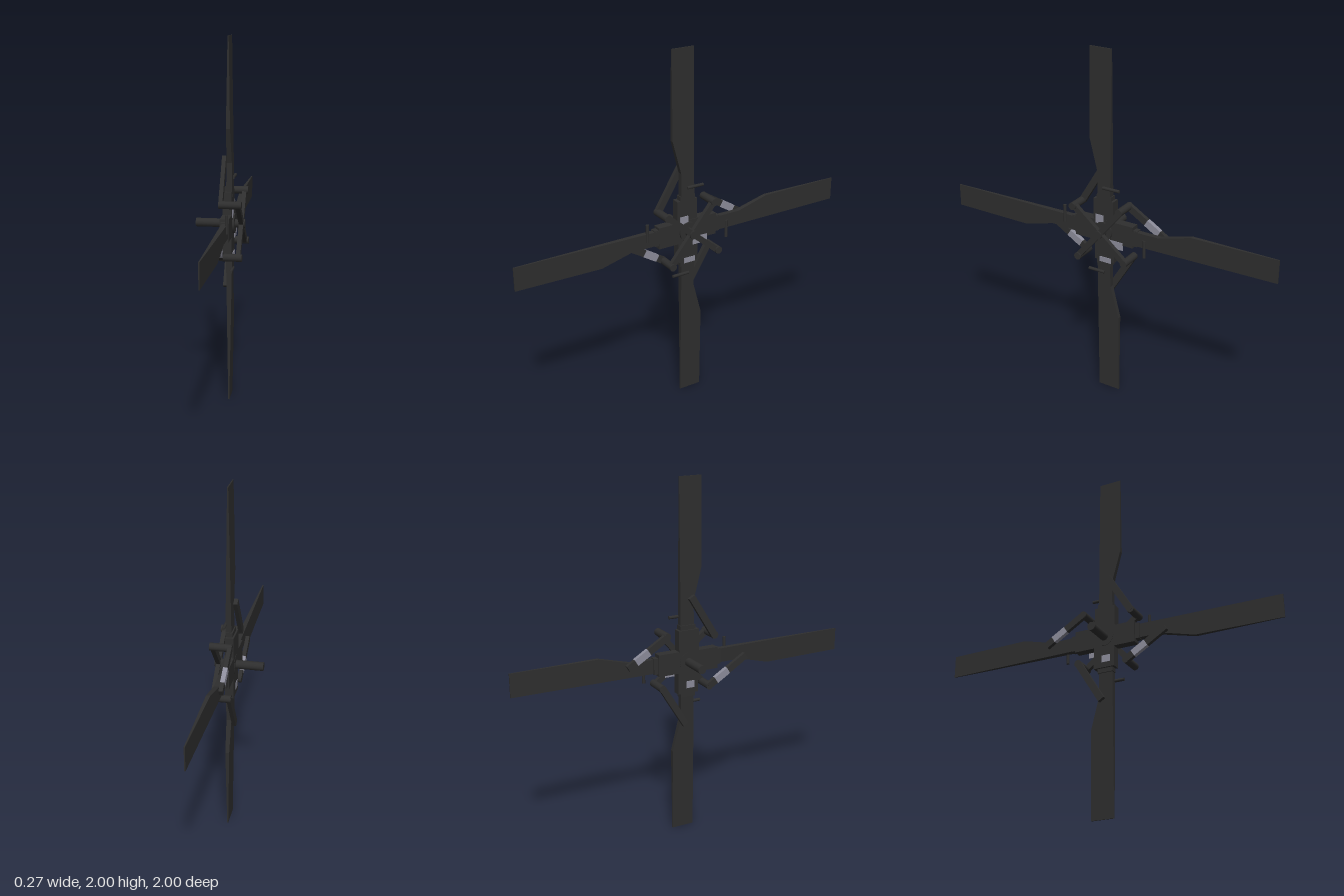
import * as THREE from 'three';

export function createModel() {
  const model = new THREE.Group();
  model.name = 'tailRotor';
  const dark = new THREE.MeshStandardMaterial({ color: 0x2e2e2e });
  dark.name = 'dark paint';
  const bare = new THREE.MeshStandardMaterial({ color: 0x8c8c9a });
  bare.name = 'bare metal';

  const add = (parent, name, geometry, material, x, y, z) => {
    const mesh = new THREE.Mesh(geometry, material);
    mesh.name = name;
    mesh.position.set(x, y, z);
    parent.add(mesh);
    return mesh;
  };
  const box = (parent, name, size, pos, material = dark) =>
    add(parent, name, new THREE.BoxGeometry(...size), material, ...pos);
  // Rod lying along x from x0 to x1
  const rodX = (parent, name, radius, x0, x1, y, z) => {
    const geometry = new THREE.CylinderGeometry(radius, radius, x1 - x0, 12).rotateZ(Math.PI / 2);
    return add(parent, name, geometry, dark, (x0 + x1) / 2, y, z);
  };
  // Bar between two [y, z] points in a plane of constant x
  const bar = (parent, name, a, b, x, thick, width) => {
    const dy = b[0] - a[0], dz = b[1] - a[1];
    const mesh = box(parent, name, [thick, Math.hypot(dy, dz), width],
      [x, (a[0] + b[0]) / 2, (a[1] + b[1]) / 2]);
    mesh.rotation.x = Math.atan2(dz, dy);
    return mesh;
  };

  // Tapered blade, narrow at the root and widened on its +z edge
  const stations = [ // radius, trailing edge z, half thickness
    [0.15, 0.04, 0.017], [0.335, 0.04, 0.014], [0.52, 0.09, 0.011], [1, 0.09, 0.003],
  ];
  const bladeGeometry = () => {
    const geometry = new THREE.BoxGeometry(2, 3, 2, 1, 3, 1).toNonIndexed();
    const p = geometry.attributes.position;
    for (let i = 0; i < p.count; i++) {
      const [r, edge, half] = stations[Math.round(p.getY(i) + 1.5)];
      p.setXYZ(i, 0.05 + p.getX(i) * half, r, p.getZ(i) > 0 ? edge : -0.04);
    }
    geometry.computeVertexNormals();
    return geometry;
  };

  const rotor = new THREE.Group();
  rotor.name = 'rotor';
  rotor.position.y = 1;
  model.add(rotor);

  // Four identical blade assemblies around the shaft
  for (let i = 0; i < 4; i++) {
    const arm = new THREE.Group();
    arm.name = 'bladeAssembly' + (i + 1);
    arm.rotation.x = i * Math.PI / 2;
    rotor.add(arm);

    add(arm, 'blade', bladeGeometry(), dark, 0, 0, 0);
    const front = i % 2 ? 0.068 : 0.065;
    box(arm, 'bladeGrip', [front - 0.018, 0.18, 0.122], [(front + 0.018) / 2, 0.09, 0.003]);
    box(arm, 'gripCollar', [0.038, 0.06, 0.09], [0.046, 0.175, 0]);

    // Counterweight peg
    add(arm, 'peg', new THREE.CylinderGeometry(0.009, 0.009, 0.1, 8).rotateX(Math.PI / 2),
      dark, 0.066, 0.25, -0.045);

    // Pitch control: spider arm, pin and link to the blade
    bar(arm, 'spiderArm', [0, 0], [0.13, 0.155], 0.112, 0.024, 0.032);
    rodX(arm, 'linkPin', 0.021, 0.012, 0.132, 0.13, 0.16);
    const link = bar(arm, 'pitchLink', [0.125, 0.162], [0.362, 0.018], 0.022, 0.022, 0.038);
    if (i % 2) box(link, 'wornSleeve', [0.024, 0.09, 0.0395], [0, i === 3 ? 0.04 : -0.04, 0], bare);
  }

  // Shaft and hub
  rodX(rotor, 'shaft', 0.024, -0.135, 0.132, 0, 0);
  rodX(rotor, 'hubBoss', 0.055, 0.016, 0.078, 0, 0);

  // Worn spots on the hub
  const spots = [[0.065, 0.025, 0.05, 0.05], [-0.065, -0.075, 0.045, 0.09], [-0.172, -0.01, 0.03, 0.07]];
  for (const [y, z, h, w] of spots) {
    box(rotor, 'wornSpot', [0.004, h, w], [0.0685, y, z], bare);
  }
  box(rotor, 'wornSpotBack', [0.004, 0.04, 0.05], [0.0175, -0.13, 0.01], bare);
  return model;
}
